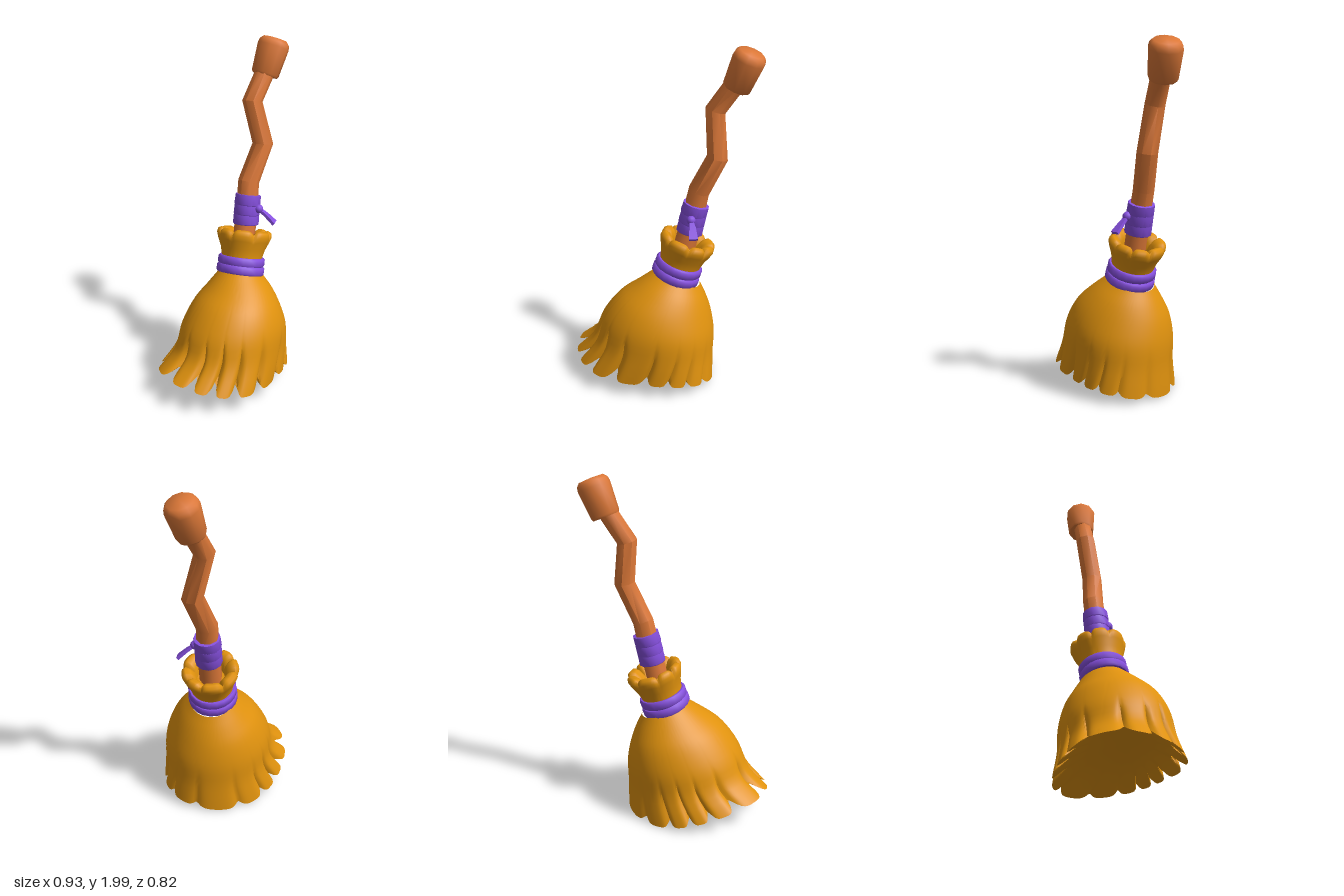
import * as THREE from 'three';
import { toCreasedNormals } from 'three/addons/utils/BufferGeometryUtils.js';

const V = (x, y, z) => new THREE.Vector3(x, y, z);
const UP = V(0, 1, 0);
const TILT = V(0.22, 1, -0.25).normalize();

// Skin a stack of closed rings (each ring counter-clockwise around the stacking direction)
function loft(rings, crease = 0.8) {
  const n = rings[0].length, pos = [], index = [];
  rings.forEach(r => r.forEach(p => pos.push(p.x, p.y, p.z)));
  for (let i = 0; i < rings.length - 1; i++) {
    for (let j = 0; j < n; j++) {
      const a = i * n + j, b = i * n + (j + 1) % n;
      index.push(a, b, b + n, a, b + n, a + n);
    }
  }
  const g = new THREE.BufferGeometry();
  g.setAttribute('position', new THREE.Float32BufferAttribute(pos, 3));
  g.setIndex(index);
  return toCreasedNormals(g, crease);
}

// Ellipse ring at c, facing d, with its first radius along the hint direction
function ring(c, d, hint, ru, rv, n, turn = 0) {
  const u = hint.clone().addScaledVector(d, -hint.dot(d)).normalize();
  const v = d.clone().cross(u);
  return Array.from({ length: n }, (_, i) => {
    const a = turn + i / n * Math.PI * 2;
    return c.clone().addScaledVector(u, ru * Math.cos(a)).addScaledVector(v, rv * Math.sin(a));
  });
}

function lathe(points, sides) {
  const g = new THREE.LatheGeometry(points.map(p => new THREE.Vector2(p[0], p[1])), sides);
  return toCreasedNormals(g, 0.8);
}

const smooth = (a, b, x) => THREE.MathUtils.smoothstep(x, a, b);

// Bell of straw with a slit, flared hem and a hollow underside
function skirtGeometry() {
  // centre x, y, z, radius x, z, tilt of the ring along x, z, saddle bend, and flattening of the left front
  const keys = [
    [0.105, 0.65, -0.105, 0.125, 0.13, -0.03, 0.03, 0, 0],
    [0.083, 0.57, -0.075, 0.194, 0.204, -0.025, 0.035, 0, 0],
    [0.058, 0.48, -0.045, 0.26, 0.27, -0.035, 0.035, 0, 0],
    [0.028, 0.355, -0.02, 0.322, 0.314, -0.025, 0.04, 0, 0.005],
    [0.006, 0.22, 0.004, 0.35, 0.33, -0.03, 0.04, 0.01, 0.022],
    [-0.045, 0.087, 0.04, 0.415, 0.368, -0.045, 0.045, 0.03, 0.065]];
  const lobes = 15, n = lobes * 12, steps = 18;
  const hemCentre = V(-0.045, 0.087, 0.04);
  const rings = Array.from({ length: steps + 5 }, () => []);
  for (let j = 0; j < n; j++) {
    const a = j / n * Math.PI * 2, c = Math.cos(a), s = -Math.sin(a);
    const leftFront = Math.max(0, (c + s) / Math.SQRT2) ** 3;
    const rightFront = Math.max(0, (s - c) / Math.SQRT2) ** 3;
    const curve = new THREE.CatmullRomCurve3(keys.map(([x, y, z, rx, rz, tx, tz, bend, flat], k) => {
      const m = 1 - 0.028 * k * c * s, f = flat * (leftFront + 0.4 * rightFront);
      return V(x + (rx * m - f) * c, y + tx * c + tz * s + bend * (c * c - s * s), z + (rz * m - f) * s);
    }));
    const lobe = Math.abs(Math.sin(lobes * a / 2 + 0.9 * Math.sin(3 * a)));
    // slits are deepest on the swept-out right front corner
    const notch = Math.pow(1 - lobe, 2.4) * (0.7 + 0.25 * (s - c));
    const end = 1 - 0.12 * notch;
    const column = [];
    for (let i = 0; i <= steps; i++) {
      const t = i / steps, p = curve.getPoint(t * end);
      const push = smooth(0.6, 1, t) * (0.008 - 0.045 * notch);
      column.push(p.add(V(c * push, 0, s * push)));
    }
    // inside surface from the hem to the middle
    column.push(hemCentre.clone().lerp(column[steps], 0.95).add(V(0, 0.01, 0)));
    const inner = curve.getPoint(1);
    for (const [k, lift] of [[0.8, 0.065], [0.48, 0.115], [0, 0.13]]) {
      column.push(hemCentre.clone().lerp(inner, k).add(V(0, lift, 0)));
    }
    column.reverse().forEach((p, i) => rings[i].push(p));
  }
  return loft(rings, 0.9);
}

// Puckered tuft above the binding, hollow around the handle
function collarGeometry() {
  const profile = [[0.112, -0.02], [0.12, 0.05], [0.132, 0.1], [0.153, 0.15], [0.163, 0.18], [0.159, 0.203],
    [0.14, 0.214], [0.112, 0.203], [0.09, 0.175], [0.078, 0.12], [0, 0.11]];
  const n = 80;
  return loft(profile.map(([r, h], i) => Array.from({ length: n }, (_, j) => {
    const a = j / n * Math.PI * 2;
    const notch = Math.pow(1 - Math.abs(Math.sin(4 * a + 0.4 * Math.sin(2 * a))), 2.6);
    const k = smooth(0.09, 0.2, h) * notch;
    const rr = r * (1 + (i < 6 ? -0.08 : 0.02) * k);
    return V(rr * Math.cos(a), h - 0.025 * k, -rr * Math.sin(a));
  })), 1);
}

// Bent eight-sided stick with mitred joints
function handleGeometry() {
  const path = [V(0.12, 0.78, -0.12), V(0.163, 1.03, -0.163), V(0.182, 1.18, -0.188),
    V(0.284, 1.39, -0.225), V(0.228, 1.64, -0.255), V(0.335, 1.81, -0.307)];
  const radii = [0.065, 0.064, 0.062, 0.061, 0.059, 0.056];
  return loft(path.map((p, i) => {
    const into = p.clone().sub(path[Math.max(i - 1, 0)]).normalize();
    const out = path[Math.min(i + 1, path.length - 1)].clone().sub(p).normalize();
    return ring(p, into.add(out).normalize(), V(1, 0, 0.3), radii[i], radii[i], 8);
  }), 0.8);
}

// Flat ribbon end, widening away from the knot
function ribbonGeometry() {
  const path = [V(0.21, 1.035, -0.105), V(0.25, 1.0, -0.08), V(0.292, 0.952, -0.05)];
  const d = V(0.08, -0.083, 0.055).normalize(), hint = V(0.5, 0.1, -0.8);
  const section = (p, w, t) => ring(p, d, hint, w, t, 4, Math.PI / 4);
  return loft([section(path[0], 0, 0), section(path[0], 0.014, 0.012), section(path[1], 0.026, 0.012),
    section(path[2], 0.036, 0.013), section(path[2], 0, 0)], 0.5);
}

export function createModel() {
  const straw = new THREE.MeshStandardMaterial({ color: 0xe0920e });
  straw.name = 'straw';
  const wood = new THREE.MeshStandardMaterial({ color: 0xdc7838 });
  wood.name = 'wood';
  const cloth = new THREE.MeshStandardMaterial({ color: 0x8650de });
  cloth.name = 'purpleCloth';

  const model = new THREE.Group();
  model.name = 'broom';
  const add = (name, geometry, material, position, axis) => {
    const mesh = new THREE.Mesh(geometry, material);
    mesh.name = name;
    if (position) mesh.position.copy(position);
    if (axis) mesh.quaternion.setFromUnitVectors(UP, axis.clone().normalize());
    model.add(mesh);
    return mesh;
  };

  // Straw head
  const neck = V(0.102, 0.695, -0.102);
  add('strawSkirt', skirtGeometry(), straw);
  add('strawCollar', collarGeometry(), straw, neck, TILT);

  // Two cords binding the neck
  const cord = [[0.1, -0.027], [0.134, -0.027], [0.142, -0.018], [0.142, 0.016], [0.134, 0.025], [0.1, 0.025]];
  [[0.026, 0.0, 0.98], [-0.026, 0.03, 1.0]].forEach(([h, lean, scale], i) => {
    const axis = TILT.clone().add(V(lean, 0, -lean));
    const band = add('neckBinding' + (i + 1), lathe(cord, 20), cloth, neck.clone().addScaledVector(TILT, h), axis);
    band.scale.set(scale, 1, scale);
  });

  // Handle and its blunt end
  add('handle', handleGeometry(), wood);
  add('handleEnd', lathe([[0, -0.112], [0.074, -0.112], [0.081, -0.1], [0.093, 0.06], [0.088, 0.085],
    [0.07, 0.104], [0, 0.108]], 10), wood, V(0.366, 1.874, -0.327), V(0.36, 0.93, -0.14));

  // Cloth wrapped around the handle in three turns
  const turn = [[0.055, -0.032], [0.074, -0.032], [0.077, -0.028], [0.075, 0.03], [0.055, 0.032]];
  for (let i = -1; i <= 1; i++) {
    const axis = V(0.17 + 0.03 * i, 1, -0.18);
    add('handleWrap' + (i + 2), lathe(turn, 12), cloth,
      V(0.162, 1.018, -0.162).addScaledVector(V(0.15, 1, -0.15), i * 0.056), axis);
  }
  add('wrapKnot', new THREE.SphereGeometry(0.026, 10, 8), cloth, V(0.213, 1.033, -0.102));
  add('ribbonTail', ribbonGeometry(), cloth);

  return model;
}
